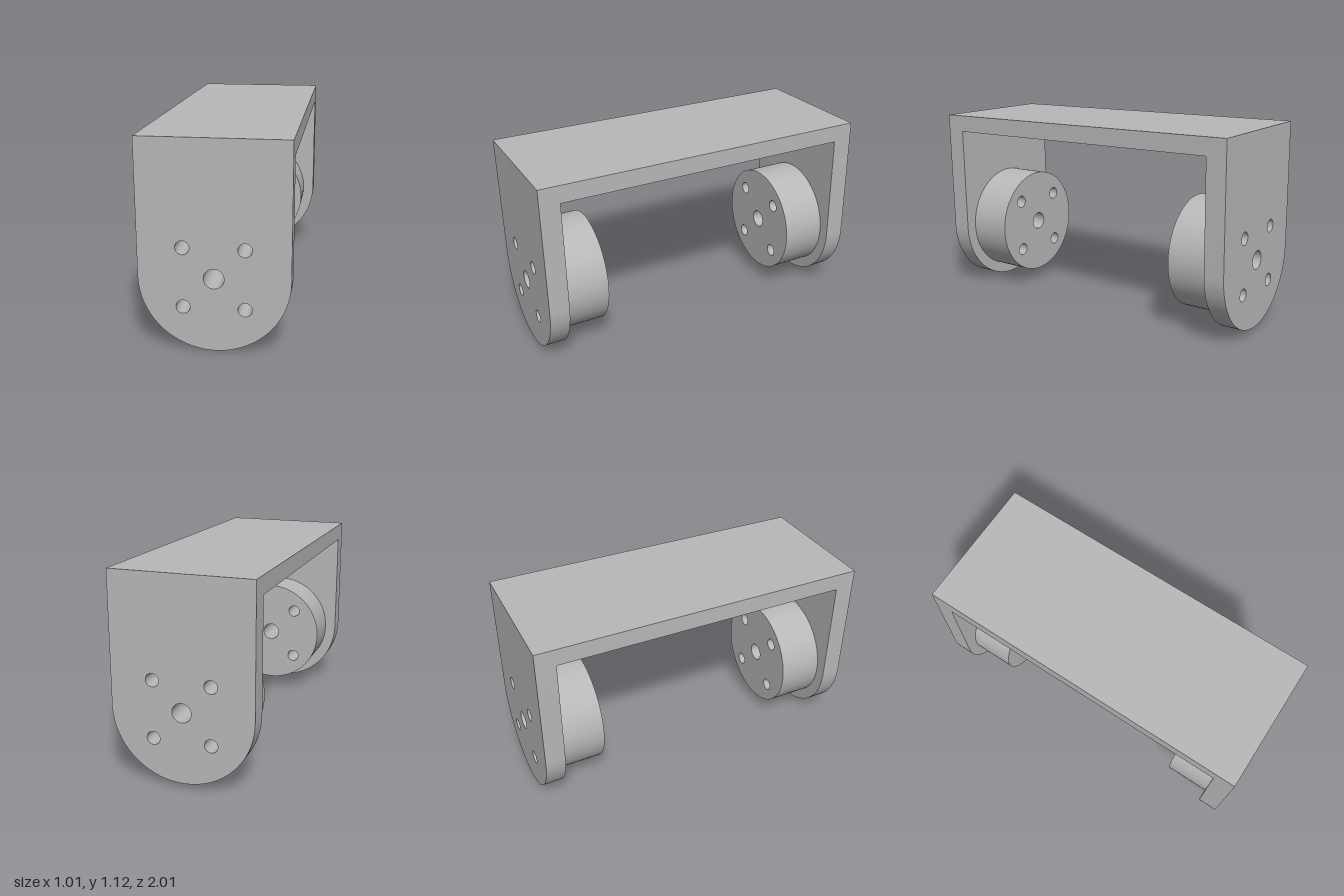
import * as THREE from 'three';
import { toCreasedNormals } from 'three/addons/utils/BufferGeometryUtils.js';

const W = 0.772, L = 1.918, H = 1.095; // overall width, length, height
const LEG = 0.112, PLATE = 0.097; // leg and top plate thickness
const R = W / 2, DISC_R = 0.32, DISC_LEN = 0.255;

// Centre bore plus four bolt holes, around (0, R)
function addHoles(shape) {
  const hole = (x, y, r) => shape.holes.push(new THREE.Path().absarc(x, y, r, 0, Math.PI * 2, true));
  hole(0, R, 0.052);
  for (const sx of [-1, 1]) for (const sy of [-1, 1]) hole(sx * 0.157, R + sy * 0.156, 0.036);
  return shape;
}

function extrude(shape, depth) {
  const geometry = new THREE.ExtrudeGeometry(shape, { depth, bevelEnabled: false, curveSegments: 40 });
  return toCreasedNormals(geometry, 0.6);
}

export function createModel() {
  const grey = new THREE.MeshStandardMaterial({ color: 0xb8b8b8 });
  grey.name = 'grey';

  const bracket = new THREE.Group();
  bracket.name = 'bracket';
  const add = (parent, name, geometry, z) => {
    const mesh = new THREE.Mesh(geometry, grey);
    mesh.name = name;
    mesh.position.z = z;
    parent.add(mesh);
    return mesh;
  };

  // Top plate spanning the two legs
  add(bracket, 'topPlate', new THREE.BoxGeometry(W, PLATE, L - 2 * LEG), 0).position.y = H - PLATE / 2;

  // Round-ended leg outline
  const legShape = new THREE.Shape();
  legShape.moveTo(R, H);
  legShape.lineTo(-R, H);
  legShape.lineTo(-R, R);
  legShape.absarc(0, R, R, Math.PI, Math.PI * 2, false);
  legShape.lineTo(R, H);
  const legGeometry = extrude(addHoles(legShape), LEG);

  // Round boss on the inner side of each leg
  const discShape = new THREE.Shape().absarc(0, R, DISC_R, 0, Math.PI * 2, false);
  const discGeometry = extrude(addHoles(discShape), DISC_LEN);

  for (const end of ['front', 'back']) {
    const side = new THREE.Group();
    side.name = end + 'Side';
    add(side, end + 'Leg', legGeometry, L / 2 - LEG);
    add(side, end + 'Boss', discGeometry, L / 2 - LEG - DISC_LEN);
    if (end === 'back') side.rotation.y = Math.PI;
    bracket.add(side);
  }

  // The bracket stands slightly turned and tipped towards the front
  bracket.rotation.set(0.0135, 0.126, 0, 'YXZ');
  bracket.position.y = Math.sin(0.0135) * L / 2;

  const model = new THREE.Group();
  model.name = 'mountingBracket';
  model.add(bracket);
  return model;
}
